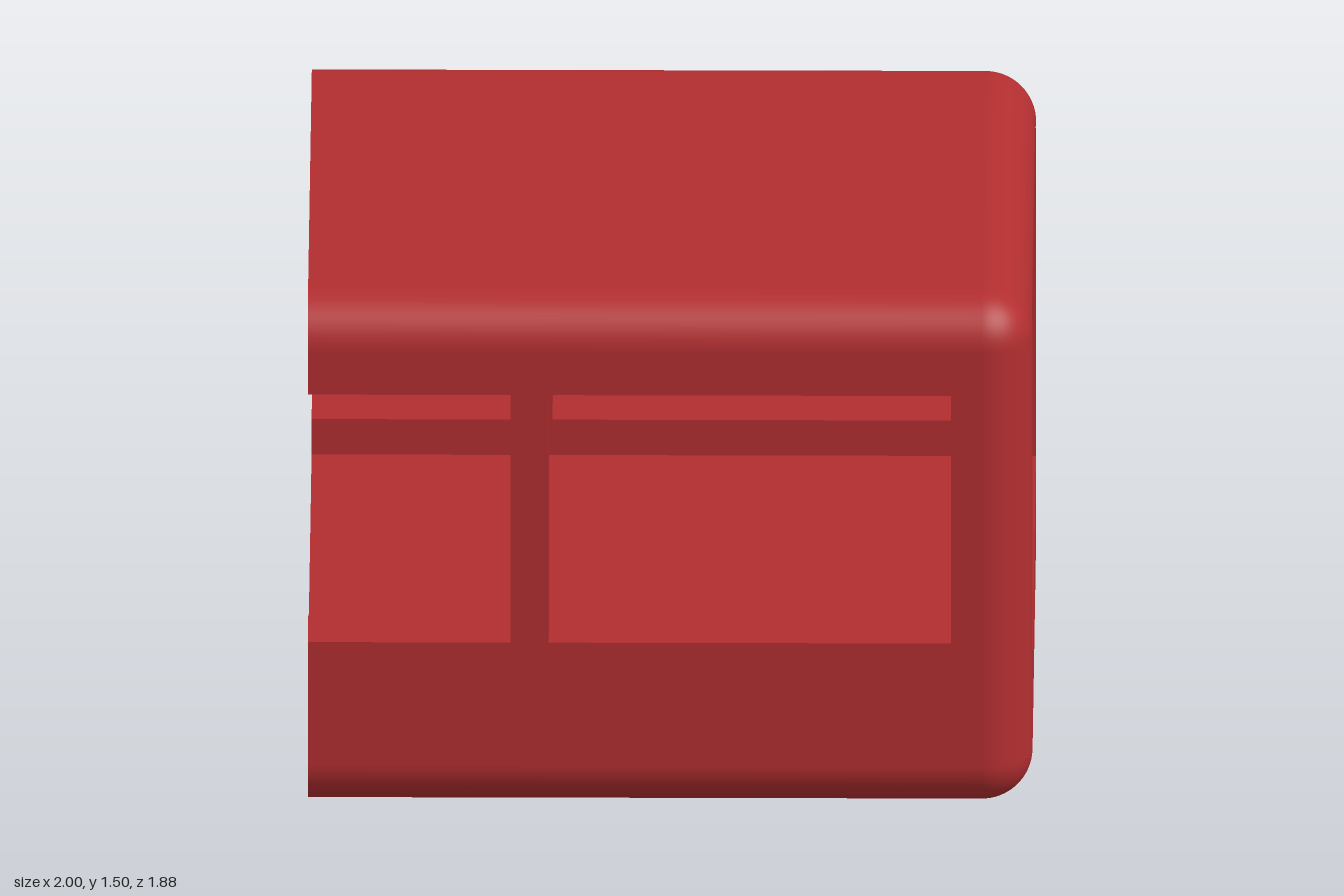
import * as THREE from 'three';

const R = 0.14;                          // edge rounding
const H = 1.505, D = 0.94;               // height, half depth
const FLOOR = 0.4, CEIL = 1.39, IN = 0.73; // tunnel through the body along x
const SILL = 0.505, HEAD = 1.24;         // side windows
const WINDOWS = [{ x0: -1, x1: -0.44, open: true }, { x0: -0.335, x1: 0.775 }];
const CEIL_END = 1 - R + Math.sqrt(R * R - (CEIL - H + R) ** 2);

// Grid lines of the rounded rim, evenly spaced in angle up to 45 degrees
const rim = [1, 2, 3, 4, 5, 6, 7, 8].map(i => R * Math.tan(i * Math.PI / 32));
const ceilLine = H - R + R * Math.tan(Math.asin((CEIL - H + R) / R));
const sorted = a => a.sort((p, q) => p - q);
const LINES = [
  sorted([-1, -0.44, -0.335, 0.775, 1 - R, ...rim.map(d => 1 - R + d)]),
  sorted([R, FLOOR, SILL, HEAD, H - R, ceilLine, ...rim.map(d => R - d), ...rim.map(d => H - R + d)]),
  sorted([-IN, IN, D - R, R - D, ...rim.map(d => D - R + d), ...rim.map(d => R - D - d)]),
];

// One side of the rounded body, leaving out grid cells that lie in an opening
function roundedSide(axis, sign, level, inOpening) {
  const u = (axis + 1) % 3, v = (axis + 2) % 3;
  const U = LINES[u], V = LINES[v];
  const pos = [], nor = [], idx = [];
  for (const b of V) for (const a of U) {
    const p = [0, 0, 0];
    p[axis] = level; p[u] = a; p[v] = b;
    const P = new THREE.Vector3(...p);
    const core = new THREE.Vector3(
      Math.min(P.x, 1 - R),
      THREE.MathUtils.clamp(P.y, R, H - R),
      THREE.MathUtils.clamp(P.z, R - D, D - R));
    const n = P.sub(core).normalize();
    nor.push(n.x, n.y, n.z);
    core.addScaledVector(n, R);
    pos.push(core.x, core.y, core.z);
  }
  for (let j = 0; j < V.length - 1; j++) for (let i = 0; i < U.length - 1; i++) {
    const c = [0, 0, 0];
    c[u] = (U[i] + U[i + 1]) / 2; c[v] = (V[j] + V[j + 1]) / 2;
    if (inOpening && inOpening(c)) continue;
    const k = j * U.length + i, l = k + U.length;
    if (sign > 0) idx.push(k, k + 1, l + 1, k, l + 1, l);
    else idx.push(k, l + 1, k + 1, k, l, l + 1);
  }
  const g = new THREE.BufferGeometry();
  g.setAttribute('position', new THREE.Float32BufferAttribute(pos, 3));
  g.setAttribute('normal', new THREE.Float32BufferAttribute(nor, 3));
  g.setIndex(idx);
  return g;
}

const polygon = pts => new THREE.Shape(pts.map(p => new THREE.Vector2(...p)));

// Horizontal panel facing up (dir 1) or down (dir -1)
const level = (x0, x1, z0, z1, y, dir) =>
  new THREE.PlaneGeometry(x1 - x0, z1 - z0).rotateX(-dir * Math.PI / 2)
    .translate((x0 + x1) / 2, y, (z0 + z1) / 2);

// Window jamb on the back side, facing +x (dir 1) or -x (dir -1)
const jamb = (x, dir) =>
  new THREE.PlaneGeometry(D - IN, HEAD - SILL).rotateY(dir * Math.PI / 2)
    .translate(x, (SILL + HEAD) / 2, -(IN + D) / 2);

export function createModel() {
  const group = new THREE.Group();
  const red = new THREE.MeshStandardMaterial({ color: 0xb22e30 });
  red.name = 'red';
  const add = (name, geometry, parent = group) => {
    const m = new THREE.Mesh(geometry, red);
    m.name = name;
    parent.add(m);
    return m;
  };

  // Outer skin
  const inWindow = ([x, y]) => y > SILL && y < HEAD && WINDOWS.some(w => x > w.x0 && x < w.x1);
  const inTunnel = ([, y, z]) => y > FLOOR && y < ceilLine && Math.abs(z) < IN;
  add('roof', roundedSide(1, 1, H));
  add('underside', roundedSide(1, -1, 0));
  add('frontSide', roundedSide(2, 1, D, inWindow));
  add('backSide', roundedSide(2, -1, -D, inWindow));
  add('framedEnd', roundedSide(0, 1, 1, inTunnel));

  // Flat cut end: a lower and an upper channel section
  const lower = polygon([[D, SILL], [IN, SILL], [IN, FLOOR], [-IN, FLOOR], [-IN, SILL], [-D, SILL], [-D, R]]);
  lower.absarc(R - D, R, R, Math.PI, 1.5 * Math.PI);
  lower.absarc(D - R, R, R, -Math.PI / 2, 0);
  const upper = polygon([[-D, HEAD], [-IN, HEAD], [-IN, CEIL], [IN, CEIL], [IN, HEAD], [D, HEAD], [D, H - R]]);
  upper.absarc(D - R, H - R, R, 0, Math.PI / 2);
  upper.absarc(R - D, H - R, R, Math.PI / 2, Math.PI);
  for (const [name, shape] of [['lowerCutEnd', lower], ['upperCutEnd', upper]])
    add(name, new THREE.ShapeGeometry(shape, 16).rotateY(-Math.PI / 2).translate(-1, 0, 0));

  // Interior
  add('floor', level(-1, 1, -IN, IN, FLOOR, 1));
  add('ceiling', level(-1, CEIL_END, -IN, IN, CEIL, -1));

  // Inner walls and window reveals, mirrored front to back
  const [gap, pane] = WINDOWS;
  const wall = polygon([[-1, FLOOR], [1, FLOOR], [1, H - R], [CEIL_END, CEIL], [-1, CEIL],
    [-1, HEAD], [gap.x1, HEAD], [gap.x1, SILL], [-1, SILL]]);
  wall.holes.push(polygon([[pane.x0, SILL], [pane.x0, HEAD], [pane.x1, HEAD], [pane.x1, SILL]]));
  for (const [name, side] of [['back', 1], ['front', -1]]) {
    const half = new THREE.Group();
    half.name = name + 'WallLining';
    half.scale.z = side;
    add('innerWall', new THREE.ShapeGeometry(wall).translate(0, 0, -IN), half);
    for (const { x0, x1, open } of WINDOWS) {
      add('windowSill', level(x0, x1, -D, -IN, SILL, 1), half);
      add('windowHead', level(x0, x1, -D, -IN, HEAD, -1), half);
      add('windowJamb', jamb(x1, -1), half);
      if (!open) add('windowJamb', jamb(x0, 1), half);
    }
    group.add(half);
  }
  return group;
}
